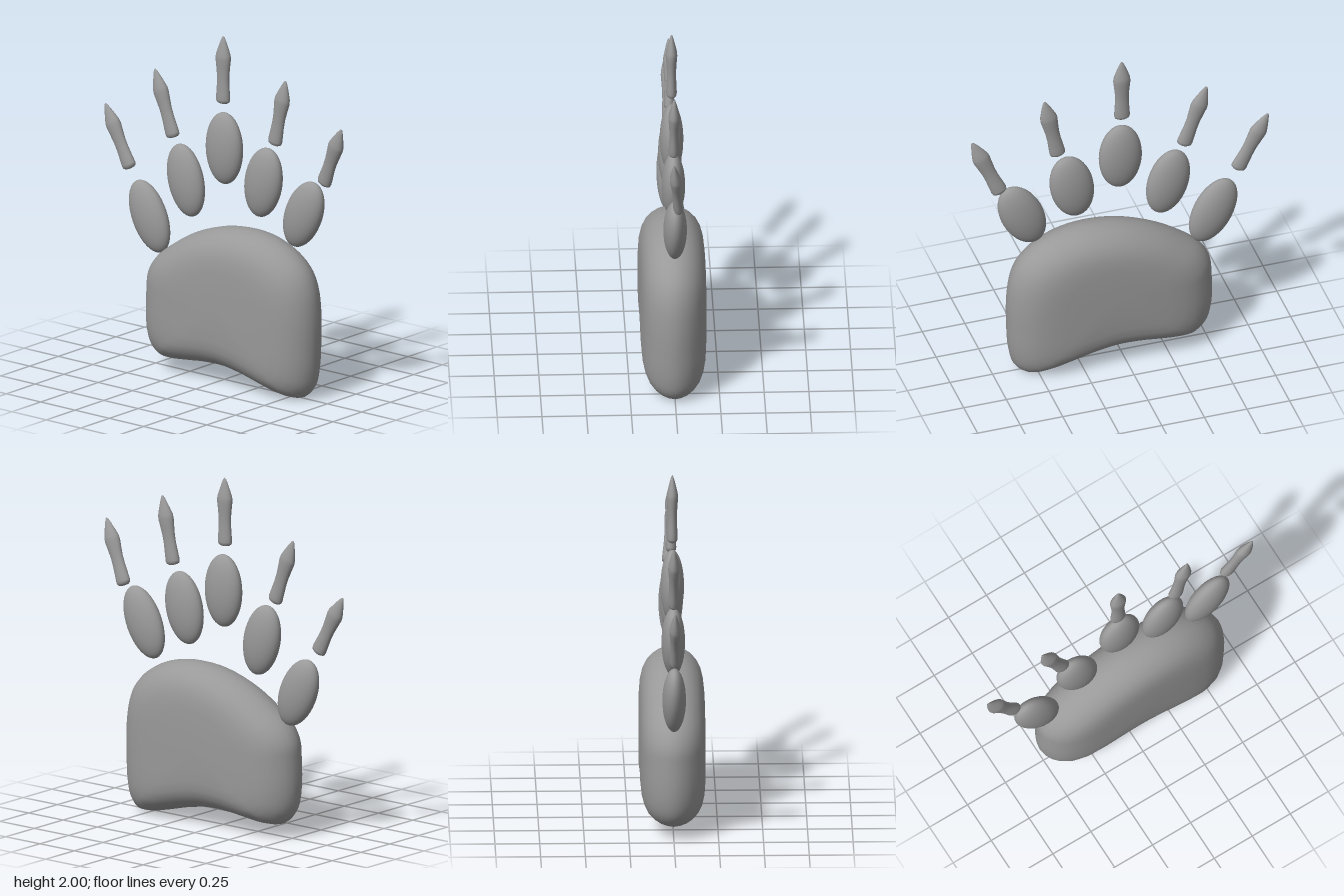
import * as THREE from 'three';

const padGrey = new THREE.MeshStandardMaterial({ color: 0x999999 });
padGrey.name = 'pad grey';

// Palm pad: one closed outline, repeated in scaled rings from back to front
function palmGeometry() {
  const outline = [
    [-0.53, 0.45], [-0.52, 0.55], [-0.47, 0.64], [-0.36, 0.73], [-0.2, 0.825], [0, 0.895],
    [0.2, 0.915], [0.37, 0.89], [0.51, 0.825], [0.6, 0.74], [0.645, 0.64], [0.665, 0.5],
    [0.665, 0.3], [0.655, 0.15], [0.63, 0.06], [0.58, 0.01], [0.5, 0.005], [0.38, 0.03],
    [0.22, 0.07], [0.06, 0.095], [-0.1, 0.093], [-0.22, 0.08], [-0.36, 0.068],
    [-0.44, 0.08], [-0.5, 0.14], [-0.53, 0.25],
  ].map(([x, y]) => new THREE.Vector3(x, y, 0));
  const sides = 96;
  const ring = new THREE.CatmullRomCurve3(outline, true).getPoints(sides);
  const centre = new THREE.Vector2(0.08, 0.45);
  // [scale, depth] of the rounded edge, from the rim to the flat face
  const edge = [[1, 0], [0.99, 0.035], [0.965, 0.07], [0.92, 0.105], [0.85, 0.138],
    [0.76, 0.161], [0.65, 0.175], [0.5, 0.182], [0.25, 0.185], [0, 0.186]];
  const layers = [
    ...edge.slice(1).reverse().map(([s, z]) => [s, -z]),
    ...edge,
  ];
  const positions = [], indices = [];
  for (const [s, z] of layers) {
    for (let i = 0; i < sides; i++) {
      positions.push(
        centre.x + (ring[i].x - centre.x) * s,
        centre.y + (ring[i].y - centre.y) * s,
        z);
    }
  }
  for (let j = 0; j < layers.length - 1; j++) {
    for (let i = 0; i < sides; i++) {
      const next = (i + 1) % sides;
      const a = j * sides + i, b = j * sides + next;
      const c = b + sides, d = a + sides;
      if (j < layers.length - 2) indices.push(a, d, c);
      if (j > 0) indices.push(a, c, b);
      else if (j === layers.length - 2) indices.push(a, c, b);
    }
  }
  const geometry = new THREE.BufferGeometry();
  geometry.setAttribute('position', new THREE.Float32BufferAttribute(positions, 3));
  geometry.setIndex(indices);
  geometry.computeVertexNormals();
  return geometry;
}

// Claw: unit-length lathe with a rounded base, narrow waist and pointed tip
function clawGeometry() {
  const profile = [
    [0, 0], [0.028, 0.008], [0.042, 0.03], [0.046, 0.065], [0.044, 0.15], [0.04, 0.3],
    [0.04, 0.42], [0.045, 0.55], [0.05, 0.66], [0.048, 0.72], [0.036, 0.81],
    [0.021, 0.91], [0.009, 0.98], [0, 1],
  ].map(([r, y]) => new THREE.Vector2(r, y));
  return new THREE.LatheGeometry(profile, 20);
}

export function createModel() {
  const paw = new THREE.Group();
  paw.name = 'paw';

  const add = (geometry, name) => {
    const mesh = new THREE.Mesh(geometry, padGrey);
    mesh.name = name;
    paw.add(mesh);
    return mesh;
  };

  add(palmGeometry(), 'palmPad');

  // Toe pads: centre, half width, half length, lean in degrees
  const toeShape = new THREE.SphereGeometry(1, 32, 20);
  const toes = [
    [-0.545, 0.85, 0.12, 0.213, 25],
    [-0.28, 1.11, 0.121, 0.209, 14],
    [0, 1.35, 0.125, 0.208, 0],
    [0.285, 1.205, 0.125, 0.208, -12],
    [0.578, 1.075, 0.12, 0.213, -25],
  ];
  toes.forEach(([x, y, w, h, lean], i) => {
    const toe = add(toeShape, `toePad${i + 1}`);
    toe.position.set(x, y, 0);
    toe.rotation.z = THREE.MathUtils.degToRad(lean);
    toe.scale.set(w, h, 0.066);
  });

  // Claws: base and tip points
  const clawShape = clawGeometry();
  const claws = [
    [[-0.685, 1.1, 0], [-0.868, 1.447, 0]],
    [[-0.37, 1.34, 0], [-0.507, 1.717, 0]],
    [[-0.01, 1.608, 0], [-0.008, 2, 0]],
    [[0.365, 1.438, 0], [0.446, 1.827, 0]],
    [[0.708, 1.267, -0.016], [0.866, 1.627, 0.016]],
  ];
  claws.forEach(([from, to], i) => {
    const base = new THREE.Vector3(...from);
    const axis = new THREE.Vector3(...to).sub(base);
    const claw = add(clawShape, `claw${i + 1}`);
    claw.position.copy(base);
    claw.scale.set(1, axis.length(), 0.65);
    claw.quaternion.setFromUnitVectors(new THREE.Vector3(0, 1, 0), axis.normalize());
  });

  return paw;
}
